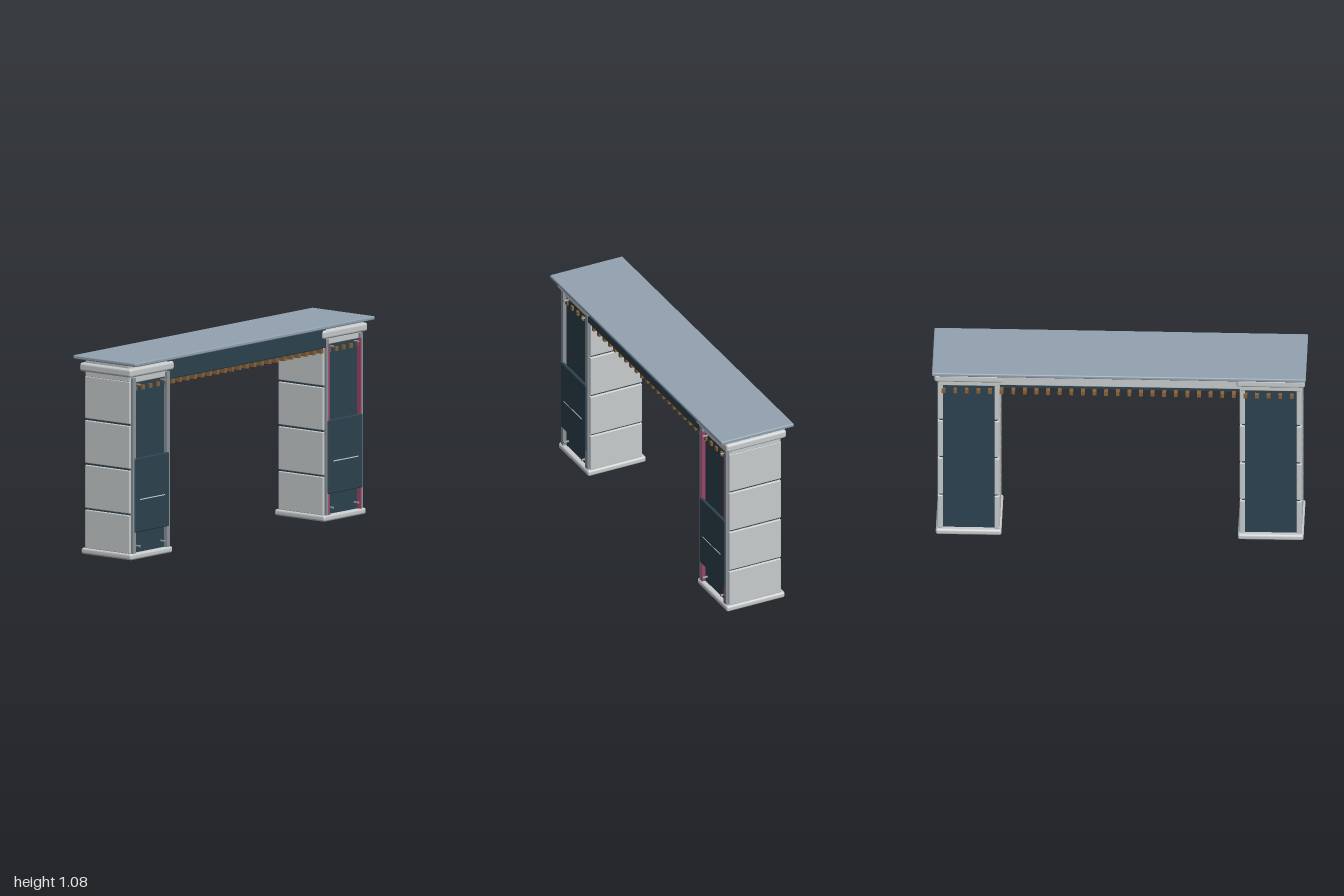
import * as THREE from 'three';
import { RoundedBoxGeometry } from 'three/addons/geometries/RoundedBoxGeometry.js';

const mat = (name, color) => {
  const m = new THREE.MeshStandardMaterial({ color });
  m.name = name;
  return m;
};

export function createModel() {
  const root = new THREE.Group();
  root.name = 'gateway';
  const stone = mat('pale stone', 0xc8cccd);
  const dark = mat('dark slate', 0x2c4350);
  const roofBlue = mat('blue grey', 0x93a3b1);
  const steel = mat('steel', 0x8b939b);
  const wood = mat('wood', 0x8a6238);
  const pink = mat('magenta trim', 0x9c4266);
  const white = mat('light line', 0xd5dade);

  // Box given by its limits on each axis; r rounds the edges
  function box(parent, name, material, [x0, x1], [y0, y1], [z0, z1], r = 0) {
    const w = x1 - x0, h = y1 - y0, d = z1 - z0;
    const geo = r ? new RoundedBoxGeometry(w, h, d, 3, r) : new THREE.BoxGeometry(w, h, d);
    const mesh = new THREE.Mesh(geo, material);
    mesh.name = name;
    mesh.position.set((x0 + x1) / 2, (y0 + y1) / 2, (z0 + z1) / 2);
    parent.add(mesh);
    return mesh;
  }

  // One pillar, built around its own centre line
  function pillar(name, x, trimmed) {
    const g = new THREE.Group();
    g.name = name;
    g.position.x = x;
    root.add(g);
    box(g, 'base', stone, [-0.176, 0.176], [0, 0.034], [-0.175, 0.175], 0.012);
    box(g, 'core', dark, [-0.155, 0.155], [0.03, 0.96], [-0.146, 0.149]);
    box(g, 'neck', stone, [-0.162, 0.162], [0.955, 1.0], [-0.156, 0.156], 0.006);
    box(g, 'capital', stone, [-0.184, 0.184], [0.991, 1.038], [-0.18, 0.18], 0.014);

    // Four cladding slabs on each flank, with dark joints between them
    const rows = [[0.032, 0.241], [0.25, 0.484], [0.494, 0.726], [0.736, 0.966]];
    for (const s of [-1, 1]) {
      const flank = s < 0 ? [-0.166, -0.138] : [0.138, 0.166];
      for (const y of rows) box(g, 'claddingSlab', stone, flank, y, [-0.155, 0.156], 0.005);

      // Front post, with a coloured trim on one of the pillars
      const post = s < 0 ? [-0.154, -0.13] : [0.13, 0.154];
      box(g, 'frontPost', steel, post, [0.034, 0.985], [0.145, 0.17]);
      if (trimmed) {
        const strip = s < 0 ? [-0.136, -0.127] : [0.127, 0.136];
        box(g, 'postTrim', pink, strip, [0.034, 0.96], [0.15, 0.172]);
      }

      // Bolts at the top and bottom of the front
      for (const y of [0.07, 0.945]) {
        const bolt = new THREE.Mesh(new THREE.CylinderGeometry(0.006, 0.006, 0.034, 12), steel);
        bolt.name = 'bolt';
        bolt.rotation.x = Math.PI / 2;
        bolt.position.set(s * 0.105, y, 0.162);
        g.add(bolt);
      }
    }

    // Screen panel with a thin line across it
    box(g, 'screen', dark, [-0.143, 0.143], [0.148, 0.549], [0.159, 0.177], 0.006);
    box(g, 'screenLine', white, [-0.104, 0.104], [0.321, 0.326], [0.174, 0.179]);
  }
  pillar('rightPillar', -0.811, false);
  pillar('leftPillar', 0.805, true);

  // Lintel, with dark front fascia and ceiling
  box(root, 'lintel', stone, [-0.975, 0.97], [0.962, 1.056], [-0.155, 0.152], 0.006);
  box(root, 'fascia', dark, [-0.662, 0.655], [0.942, 1.046], [0.148, 0.166], 0.004);
  box(root, 'ceiling', dark, [-0.66, 0.655], [0.936, 0.966], [-0.135, 0.155]);

  // Wooden slats run under the full length
  for (let i = 0; i < 31; i++) {
    const x = -0.924 + i * 0.0621;
    box(root, 'slat', wood, [x - 0.01, x + 0.01], [0.913, 0.937], [-0.165, 0.16]);
  }

  // Flat roof
  box(root, 'roof', roofBlue, [-1, 1], [1.055, 1.075], [-0.218, 0.218], 0.006);
  return root;
}
